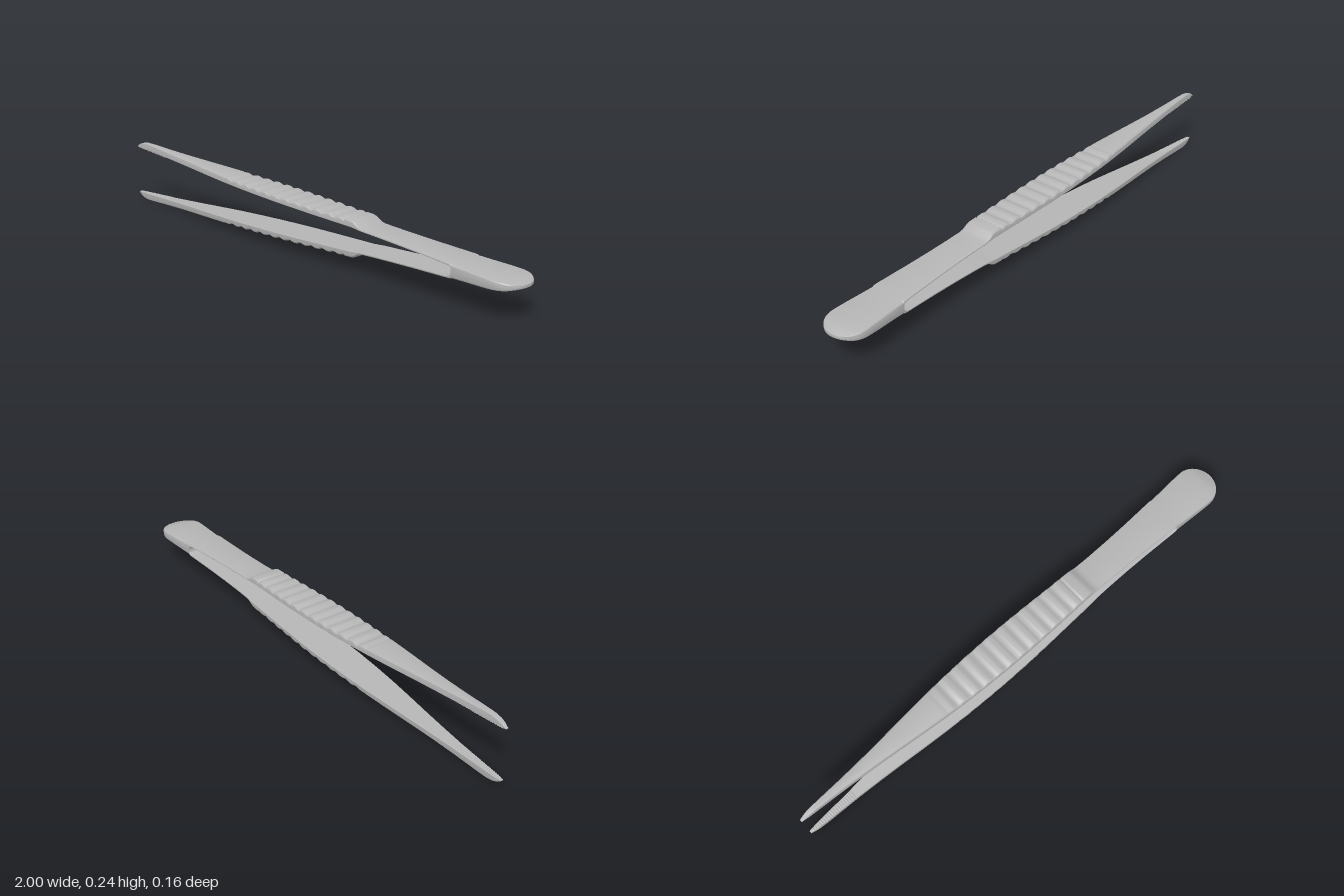
import * as THREE from 'three';
import { toCreasedNormals } from 'three/addons/utils/BufferGeometryUtils.js';

const MID = 0.1225; // height of the mirror plane between the arms

// Keys are [x, value]; heights are measured from the mirror plane
const OUTER = [[-1, 0.1], [-0.985, 0.111], [-0.965, 0.118], [-0.94, 0.1215], [-0.9, 0.1205],
  [-0.4, 0.0955], [0.3, 0.068], [0.312, 0.064], [0.325, 0.054], [0.336, 0.047], [0.35, 0.044],
  [0.75, 0.0245], [0.9, 0.018], [0.96, 0.013], [1, 0.005]];
const INNER = [[-1, 0.097], [-0.4, 0.07], [0.3, 0.0425], [0.35, 0.038], [0.735, 0.019],
  [0.744, 0.016], [0.75, 0.01], [0.752, 0], [1, 0]];
const WIDTH = [[-1, 0.005], [-0.97, 0.009], [-0.9, 0.013], [-0.8, 0.019], [-0.7, 0.027], [-0.6, 0.036],
  [-0.5, 0.046], [-0.4, 0.055], [-0.3, 0.062], [-0.2, 0.0665], [-0.1, 0.069], [0, 0.069],
  [0.1, 0.067], [0.2, 0.064], [0.3, 0.061], [0.4, 0.06], [0.5, 0.0615], [0.6, 0.065],
  [0.7, 0.07], [0.8, 0.0755], [0.87, 0.08], [0.92, 0.082]];

function sample(keys, x) {
  for (let i = 1; i < keys.length; i++) {
    const [x0, a] = keys[i - 1], [x1, b] = keys[i];
    if (x <= x1) return a + (b - a) * (x - x0) / (x1 - x0);
  }
  return keys[keys.length - 1][1];
}

// Grip ridges across the outside of each arm
const GRIP = { start: -0.39, pitch: 0.055, count: 12, depth: 0.007 };
function groove(x) {
  const t = (x - GRIP.start) / GRIP.pitch;
  if (t <= 0 || t >= GRIP.count) return 0;
  return GRIP.depth * Math.pow(0.5 + 0.5 * Math.cos(t * Math.PI * 2), 1.5) * Math.min(1, t * 2);
}

// Rounded end of the handle
function halfWidth(x) {
  if (x <= 0.92) return sample(WIDTH, x);
  const t = (x - 0.92) / 0.08;
  return 0.082 * Math.sqrt(Math.max(0.003, 1 - t * t));
}

function stations() {
  const xs = [];
  for (const keys of [OUTER, INNER, WIDTH]) for (const [x] of keys) xs.push(x);
  for (let i = 0; i <= GRIP.count * 8; i++) xs.push(GRIP.start + i * GRIP.pitch / 8);
  for (let i = 1; i < 14; i++) xs.push(0.92 + 0.08 * Math.sin(i / 14 * Math.PI / 2));
  xs.sort((a, b) => a - b);
  return xs.filter((x, i) => i === 0 || x - xs[i - 1] > 0.0008);
}

// One arm with its half of the handle, lofted along x; side is 1 (upper) or -1 (lower)
function armGeometry(side) {
  const pos = [], index = [];
  const xs = stations();
  let n = 0;
  for (const x of xs) {
    const w = halfWidth(x), inner = sample(INNER, x);
    const outer = sample(OUTER, x) - groove(x);
    const b = Math.min(0.011, (outer - inner) * 0.45, w * 0.45);
    const c = inner > 0 ? Math.min(0.002, b * 0.3) : 0;
    const half = [[w - c, inner], [w, inner + c], [w, outer - b],
      [w - b * 0.13, outer - b * 0.5], [w - b * 0.5, outer - b * 0.13], [w - b, outer]];
    const ring = [...half, ...half.slice().reverse().map(([z, y]) => [-z, y])];
    n = ring.length;
    for (const [z, y] of ring) pos.push(x, MID + side * y, z);
  }
  const tri = (a, b, c) => (side > 0 ? index.push(a, b, c) : index.push(a, c, b));
  for (let i = 0; i < xs.length - 1; i++) {
    for (let j = 0; j < n; j++) {
      const a = i * n + j, b = i * n + (j + 1) % n;
      tri(a, a + n, b);
      tri(b, a + n, b + n);
    }
  }
  // End caps
  const last = (xs.length - 1) * n;
  for (let j = 1; j < n - 1; j++) {
    tri(0, j, j + 1);
    tri(last, last + j + 1, last + j);
  }
  const g = new THREE.BufferGeometry();
  g.setAttribute('position', new THREE.Float32BufferAttribute(pos, 3));
  g.setIndex(index);
  return toCreasedNormals(g, 0.5);
}

// Fine gripping teeth on the inside of each tip
function teethGeometry(side) {
  const pos = [], index = [], steps = 40;
  for (let i = 0; i <= steps; i++) {
    const x = -0.99 + 0.19 * i / steps;
    const y = sample(INNER, x) - (i % 2 ? 0.0022 : 0.0003);
    const w = halfWidth(x) * 0.85;
    pos.push(x, MID + side * y, w, x, MID + side * y, -w);
    if (i < steps) {
      const a = i * 2;
      if (side > 0) index.push(a, a + 1, a + 2, a + 1, a + 3, a + 2);
      else index.push(a, a + 2, a + 1, a + 1, a + 2, a + 3);
    }
  }
  const g = new THREE.BufferGeometry();
  g.setAttribute('position', new THREE.Float32BufferAttribute(pos, 3));
  g.setIndex(index);
  return toCreasedNormals(g, 0.1);
}

export function createModel() {
  const group = new THREE.Group();
  group.name = 'tweezers';
  const steel = new THREE.MeshStandardMaterial({ color: 0xb5b5b5 });
  steel.name = 'steel';
  steel.side = THREE.DoubleSide;
  for (const [side, name] of [[1, 'upper'], [-1, 'lower']]) {
    const arm = new THREE.Mesh(armGeometry(side), steel);
    arm.name = name + 'Arm';
    const teeth = new THREE.Mesh(teethGeometry(side), steel);
    teeth.name = name + 'TipTeeth';
    group.add(arm, teeth);
  }
  return group;
}
